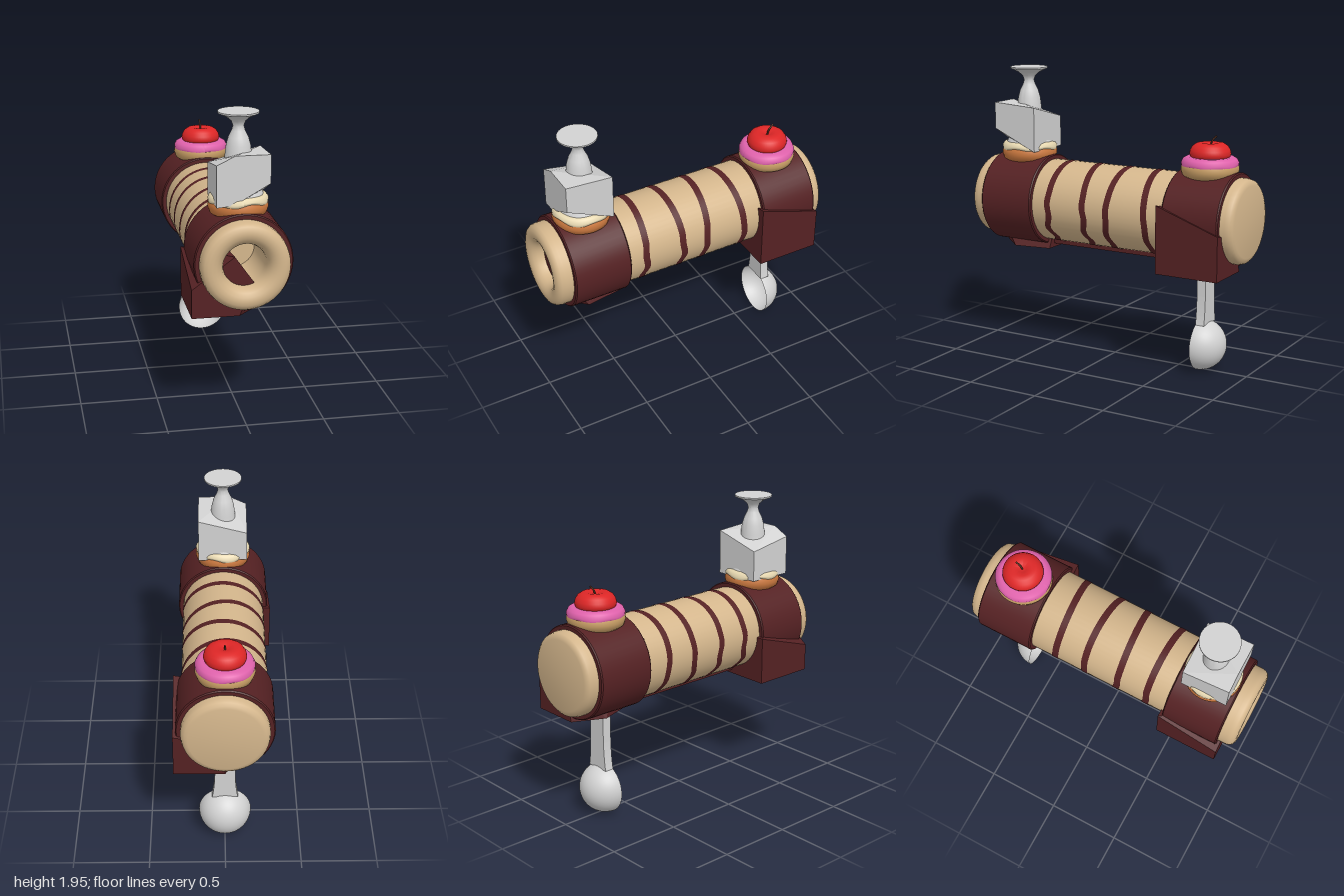
import * as THREE from 'three';
import { toCreasedNormals } from 'three/addons/utils/BufferGeometryUtils.js';
import { ConvexGeometry } from 'three/addons/geometries/ConvexGeometry.js';

const V = (x, y, z) => new THREE.Vector3(x, y, z);
const AXIS_Y = 1.04; // height of the roll's axis

function mat(name, color, side = THREE.FrontSide) {
  const m = new THREE.MeshStandardMaterial({ color, side });
  m.name = name;
  return m;
}

export function createModel() {
  const root = new THREE.Group();
  const M = {
    sponge: mat('sponge', 0xd4b68c),
    chocolate: mat('chocolate', 0x552123, THREE.DoubleSide),
    metal: mat('metal', 0xd2d2d2, THREE.DoubleSide),
    pastry: mat('brownPastry', 0xcd7a40),
    cream: mat('creamIcing', 0xe8d9b2),
    bun: mat('bun', 0xc99f66),
    pink: mat('pinkIcing', 0xe062ac),
    red: mat('red', 0xdd2626),
    stem: mat('stem', 0x5a3424),
  };
  const add = (name, geo, material, x = 0, y = 0, z = 0) => {
    const mesh = new THREE.Mesh(geo, material);
    mesh.name = name;
    mesh.position.set(x, y, z);
    root.add(mesh);
    return mesh;
  };
  // profile of [radius, height], listed bottom to top along the outside
  const lathe = (pts, crease = 0.7, seg = 48) =>
    toCreasedNormals(new THREE.LatheGeometry(pts.map(p => new THREE.Vector2(p[0], p[1])), seg), crease);

  // Hollow-mouthed roll, lying along z
  const roll = lathe([
    [0, -1], [0.235, -1], [0.255, -0.994], [0.272, -0.98], [0.28, -0.95],
    [0.28, 0.94], [0.275, 0.968], [0.262, 0.986], [0.24, 0.997], [0.215, 1],
    [0.19, 0.995], [0.165, 0.98], [0.147, 0.955], [0.137, 0.92], [0.135, 0.88],
    [0.135, 0.55], [0, 0.55],
  ]).rotateX(Math.PI / 2);
  add('cakeRoll', roll, M.sponge, 0, AXIS_Y, 0);

  // Two chocolate bands
  for (const [name, z, h] of [['frontBand', 0.69, 0.2], ['backBand', -0.715, 0.202]]) {
    const ring = lathe([[0.27, -h], [0.305, -h], [0.312, -h + 0.008], [0.312, h - 0.008], [0.305, h], [0.27, h]]);
    add(name, ring.rotateX(Math.PI / 2), M.chocolate, 0, AXIS_Y, z);
  }

  // Drizzled stripes: thin ribbons wrapped round the roll
  const stripe = (a, b, c, wobble) => {
    const n = 120, pos = [], idx = [];
    for (let i = 0; i <= n; i++) {
      const t = (i / n) * Math.PI * 2, low = Math.max(0, 0.5 - Math.sin(t)) / 1.5;
      const z = a + b * Math.cos(t) + c * Math.sin(t) + wobble * low * Math.sin(9 * t);
      for (const d of [-0.023, 0.023]) pos.push(0.2825 * Math.cos(t), 0.2825 * Math.sin(t), z + d);
      if (i < n) idx.push(2 * i, 2 * i + 2, 2 * i + 1, 2 * i + 1, 2 * i + 2, 2 * i + 3);
    }
    const g = new THREE.BufferGeometry();
    g.setAttribute('position', new THREE.Float32BufferAttribute(pos, 3));
    g.setIndex(idx);
    g.computeVertexNormals();
    return g;
  };
  [[-0.355, -0.02, 0.015, 0.006], [-0.1, 0.012, -0.018, 0.01],
    [0.11, -0.02, 0.006, 0.018], [0.358, 0.008, -0.012, 0.02]]
    .forEach((s, i) => add('stripe' + (i + 1), stripe(...s), M.chocolate, 0, AXIS_Y, 0));

  // Rail under the roll
  add('bottomRail', new THREE.BoxGeometry(0.08, 0.04, 1), M.chocolate, 0, 0.752, 0);

  // Broken chocolate chunks at opposite sides
  add('frontChunk', new ConvexGeometry([
    V(-0.33, 0.705, 0.91), V(-0.33, 0.89, 0.91), V(-0.06, 1.09, 0.91), V(0.06, 0.92, 0.91), V(-0.03, 0.705, 0.91),
    V(-0.33, 0.705, 0.47), V(-0.33, 1.03, 0.47), V(-0.05, 1.03, 0.47), V(0.1, 0.705, 0.47), V(0.14, 0.705, 0.73),
  ]), M.chocolate);
  add('backChunk', new ConvexGeometry([
    V(0.33, 0.705, -0.93), V(0.33, 1.0, -0.93), V(0.05, 0.95, -0.93), V(0.0, 0.705, -0.93),
    V(0.33, 0.705, -0.49), V(0.33, 1.155, -0.49), V(0.05, 1.1, -0.49), V(-0.02, 0.705, -0.49), V(-0.1, 0.705, -0.72),
  ]), M.chocolate);

  // Round pastry base and icing with a wavy rim
  const bunProfile = [[0, -0.04], [0.15, -0.04], [0.178, -0.02], [0.19, 0.015], [0.188, 0.04],
    [0.175, 0.07], [0.15, 0.09], [0, 0.095]];
  const icing = (pts, amp, waves) => {
    const g = new THREE.LatheGeometry(pts.map(p => new THREE.Vector2(p[0], p[1])), 64);
    const p = g.attributes.position;
    for (let i = 0; i < p.count; i++) {
      const y = p.getY(i), t = Math.atan2(p.getX(i), p.getZ(i));
      const k = Math.max(0, 1 - y / 0.06);
      p.setY(i, y + amp * k * (Math.sin(waves * t) + 0.5 * Math.sin((waves - 2) * t + 1)));
    }
    g.computeVertexNormals();
    return g;
  };
  add('frontPastry', lathe(bunProfile, 1), M.pastry, 0, 1.34, 0.69);
  add('frontIcing', icing([[0.17, -0.002], [0.186, 0.008], [0.188, 0.025], [0.175, 0.046], [0.15, 0.057], [0, 0.06]], 0.011, 5),
    M.cream, 0, 1.382, 0.69);
  add('backBun', lathe(bunProfile, 1), M.bun, 0, 1.345, -0.71);
  add('backIcing', icing([[0.17, -0.008], [0.184, 0], [0.188, 0.025], [0.176, 0.052], [0.15, 0.066], [0, 0.07]], 0.006, 6),
    M.pink, 0, 1.378, -0.71);

  // Fruit with dimpled top, and its leaning stem
  add('fruit', lathe([[0.1, -0.02], [0.128, 0.0], [0.135, 0.022], [0.13, 0.045], [0.115, 0.07], [0.09, 0.087],
    [0.06, 0.092], [0.03, 0.085], [0, 0.068]], 2), M.red, 0, 1.442, -0.71);
  const stemPath = new THREE.CatmullRomCurve3([V(0, 1.505, -0.71), V(0, 1.545, -0.722), V(0, 1.58, -0.755)]);
  add('fruitStem', new THREE.TubeGeometry(stemPath, 10, 0.006, 8), M.stem);

  // Metal sight post and the angular block round it
  add('sightPost', lathe([[0.165, 1.415], [0.15, 1.45], [0.115, 1.52], [0.092, 1.6], [0.083, 1.68], [0.076, 1.74],
    [0.062, 1.79], [0.042, 1.83], [0.034, 1.86], [0.045, 1.89], [0.075, 1.915], [0.118, 1.935], [0.128, 1.94],
    [0.128, 1.95], [0, 1.95]]), M.metal, 0, 0, 0.69);
  add('sightBlock', new ConvexGeometry([
    V(-0.165, 1.39, 0.86), V(-0.165, 1.655, 0.86), V(-0.05, 1.71, 0.86), V(0.17, 1.71, 0.86), V(0.17, 1.53, 0.86),
    V(-0.06, 1.4, 0.86), V(0.17, 1.385, 0.54), V(0.17, 1.69, 0.54), V(-0.165, 1.39, 0.54), V(-0.165, 1.6, 0.54),
  ]), M.metal);

  // Hanging spoon: flared handle and open bowl facing forward
  const s = new THREE.Shape();
  s.moveTo(-0.065, 0.76);
  s.lineTo(-0.067, 0.52);
  s.quadraticCurveTo(-0.07, 0.4, -0.085, 0.325);
  s.lineTo(0.085, 0.325);
  s.quadraticCurveTo(0.07, 0.4, 0.067, 0.52);
  s.lineTo(0.065, 0.76);
  const handle = new THREE.ExtrudeGeometry(s, { depth: 0.062, bevelEnabled: false, curveSegments: 8 });
  add('spoonHandle', handle, M.metal, 0, 0, -0.724);
  const bowl = new THREE.SphereGeometry(0.173, 40, 16, 0, Math.PI * 2, 0, Math.PI / 2).rotateX(-Math.PI / 2);
  add('spoonBowl', bowl, M.metal, 0, 0.174, -0.662);

  return root;
}
